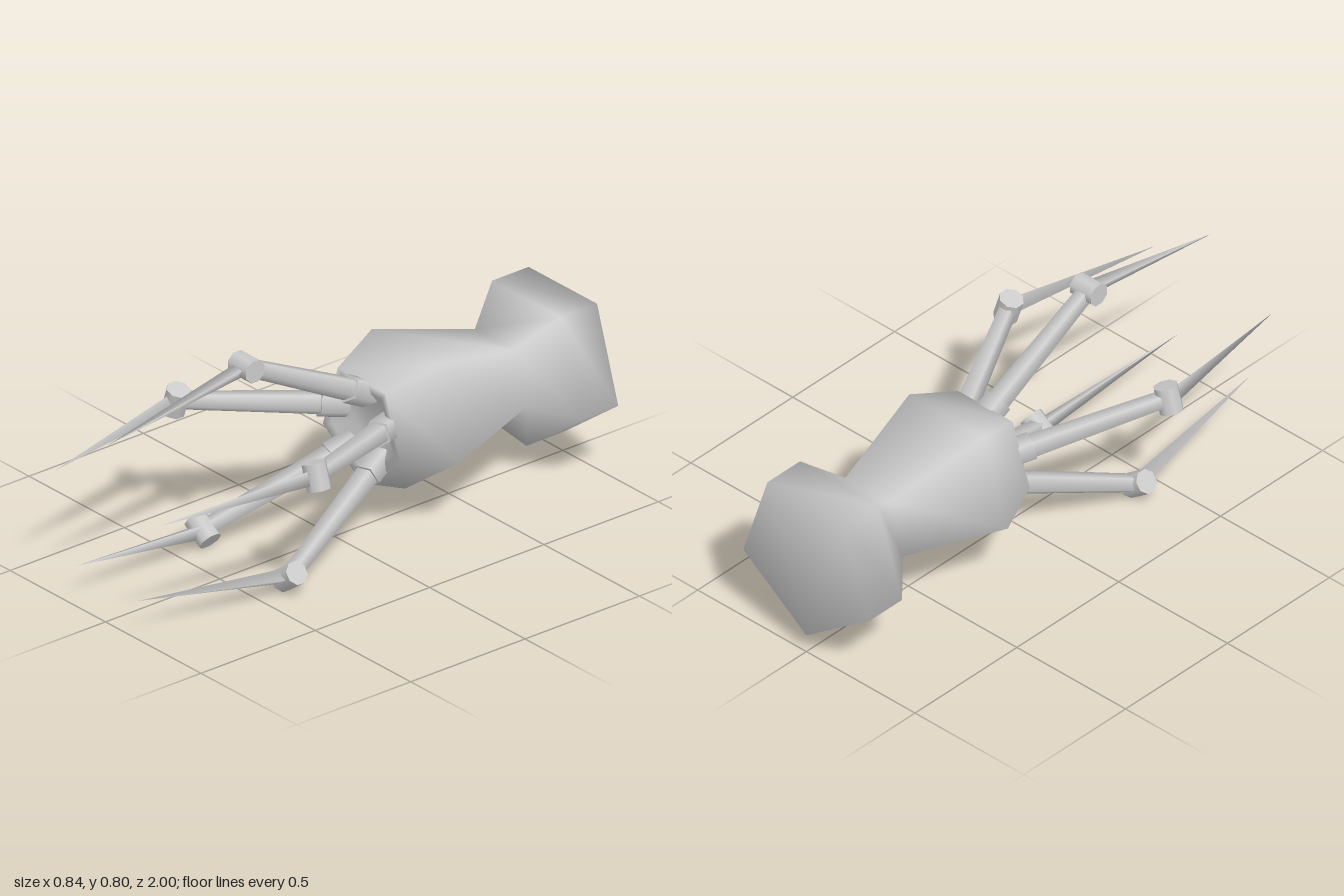
import * as THREE from 'three';

const SIDES = 5;
const AXIS_Y = 0.38;
const material = new THREE.MeshStandardMaterial({ color: 0xcccccc });

// Five-sided smooth body lofted from [z, radius] rings, closed at both ends
function loftGeometry(rings) {
  const positions = [];
  const indices = [];
  for (const [z, r] of rings) {
    for (let i = 0; i < SIDES; i++) {
      const a = -Math.PI / 2 + (i * 2 * Math.PI) / SIDES;
      positions.push(r * Math.cos(a), r * Math.sin(a), z);
    }
  }
  for (let k = 0; k < rings.length - 1; k++) {
    for (let i = 0; i < SIDES; i++) {
      const j = (i + 1) % SIDES;
      const a = k * SIDES + i, b = k * SIDES + j;
      indices.push(a, b, b + SIDES, a, b + SIDES, a + SIDES);
    }
  }
  // Rear cap and palm cap
  const last = (rings.length - 1) * SIDES;
  for (let i = 1; i < SIDES - 1; i++) {
    indices.push(0, i + 1, i);
    indices.push(last, last + i, last + i + 1);
  }
  const geometry = new THREE.BufferGeometry();
  geometry.setAttribute('position', new THREE.Float32BufferAttribute(positions, 3));
  geometry.setIndex(indices);
  geometry.computeVertexNormals();
  return geometry;
}

function addMesh(parent, name, geometry) {
  const mesh = new THREE.Mesh(geometry, material);
  mesh.name = name;
  parent.add(mesh);
}

// Tapered prism between two [z, radial] points, one ridge facing the hand's axis
function taper([z0, y0], [z1, y1], r0, r1, sides) {
  const geometry = new THREE.CylinderGeometry(r1, r0, Math.hypot(z1 - z0, y1 - y0), sides);
  geometry.rotateX(Math.PI / 2);
  geometry.rotateX(-Math.atan2(y1 - y0, z1 - z0));
  geometry.translate(0, (y0 + y1) / 2, (z0 + z1) / 2);
  return geometry;
}

// One finger, pointing outward along +y and forward along +z
function createFinger() {
  const finger = new THREE.Group();
  const joint = [0.385, 0.387];
  const root = [-0.15, 0.117];
  const knuckleEnd = [-0.06, 0.162];
  addMesh(finger, 'knuckle', taper(root, knuckleEnd, 0.052, 0.052, 5));
  addMesh(finger, 'fingerBone', taper(root, joint, 0.045, 0.033, 5));
  const hinge = new THREE.CylinderGeometry(0.043, 0.043, 0.096, 8);
  hinge.rotateY(Math.PI / 8);
  hinge.rotateZ(Math.PI / 2);
  hinge.translate(0, joint[1], joint[0]);
  addMesh(finger, 'fingerJoint', hinge);
  addMesh(finger, 'claw', taper(joint, [1, 0.285], 0.031, 0, 3));
  return finger;
}

export function createModel() {
  const model = new THREE.Group();
  model.name = 'clawHand';
  const hand = new THREE.Group();
  hand.name = 'hand';
  hand.position.y = AXIS_Y;
  model.add(hand);

  // Cuff, narrow wrist, bulging palm and shallow recess at the front
  addMesh(hand, 'wristAndPalm', loftGeometry([
    [-1, 0.305], [-0.84, 0.305], [-0.7, 0.173], [-0.31, 0.295],
    [-0.12, 0.213], [-0.125, 0.17], [-0.17, 0.09],
  ]));

  // Fingers sit opposite the corners of the palm
  for (let i = 0; i < SIDES; i++) {
    const finger = createFinger();
    finger.name = `finger${i + 1}`;
    finger.rotation.z = (i * 2 * Math.PI) / SIDES;
    hand.add(finger);
  }
  return model;
}
